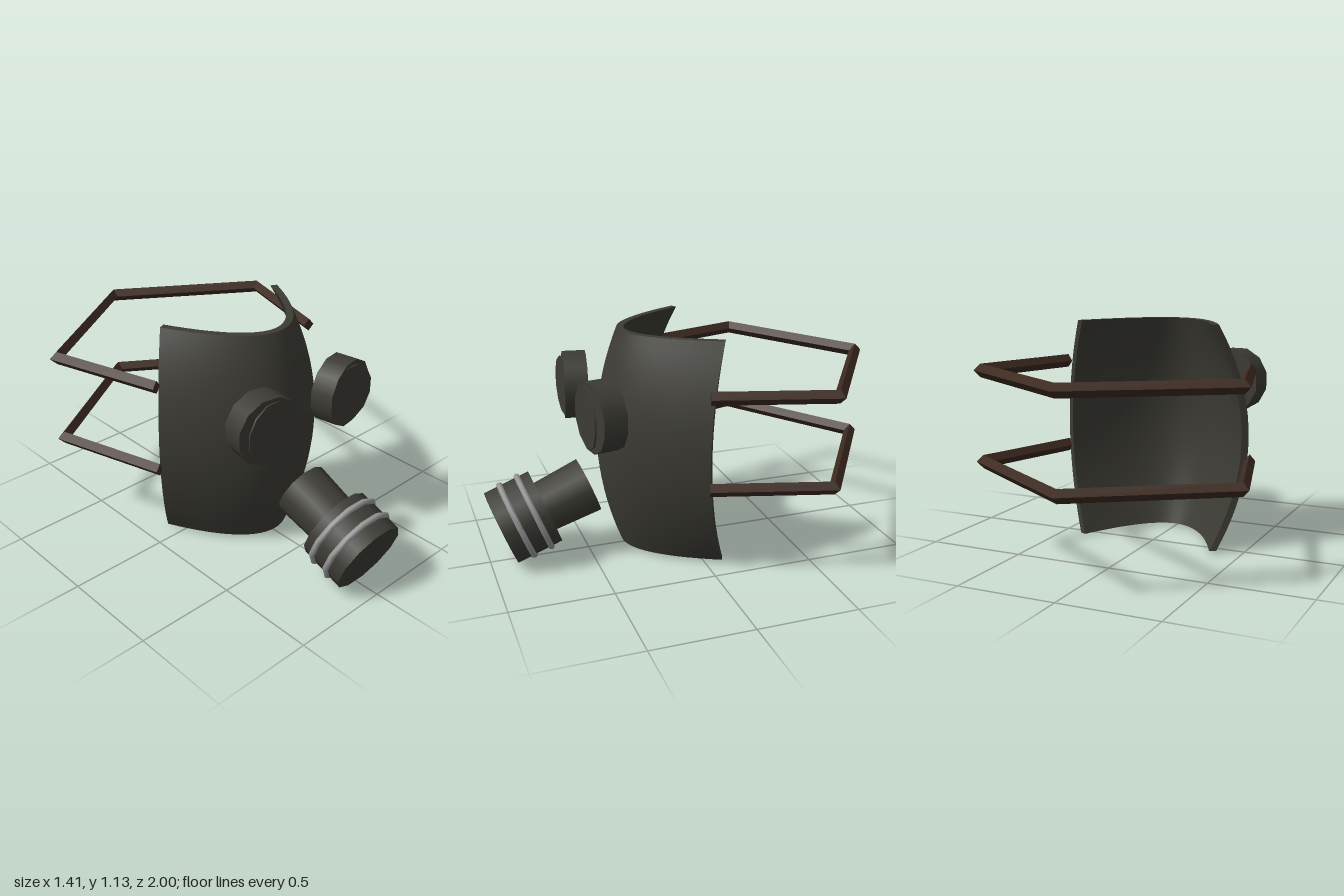
import * as THREE from 'three';
import { mergeGeometries } from 'three/addons/utils/BufferGeometryUtils.js';

const mat = (name, color, extra = {}) => new THREE.MeshStandardMaterial({ name, color, ...extra });

// Smooth grid surface from f(u, v); its front faces du x dv
function grid(f, nu, nv) {
  const pos = [], index = [];
  for (let j = 0; j <= nv; j++) {
    for (let i = 0; i <= nu; i++) pos.push(...f(i / nu, j / nv));
  }
  for (let j = 0; j < nv; j++) {
    for (let i = 0; i < nu; i++) {
      const a = j * (nu + 1) + i, b = a + 1, d = a + nu + 1, c = d + 1;
      index.push(a, b, c, a, c, d);
    }
  }
  const g = new THREE.BufferGeometry();
  g.setAttribute('position', new THREE.Float32BufferAttribute(pos, 3));
  g.setIndex(index);
  g.computeVertexNormals();
  return g;
}

// Face shell: parabolic section, bulging at mid height; depth 0 is outside, 1 is inside
function shellPoint(u, v, depth) {
  const t = 2 * u - 1, h = 2 * v - 1, bulge = 1 - h * h;
  const w = 0.38 + 0.12 * bulge, d = 0.4;
  const nx = 2 * d * t, len = Math.hypot(nx, w), off = 0.035 * depth;
  return [
    w * t - (nx / len) * off,
    0.573 + 0.557 * h,
    0.32 + 0.11 * bulge - d * t * t - (w / len) * off,
  ];
}

function shellGeometry() {
  const N = 28, M = 20;
  return mergeGeometries([
    grid((u, v) => shellPoint(u, v, 0), N, M),
    grid((u, v) => shellPoint(1 - u, v, 1), N, M),
    grid((u, v) => shellPoint(u, 1, v), N, 1),
    grid((u, v) => shellPoint(1 - u, 0, v), N, 1),
    grid((u, v) => shellPoint(1, v, u), 1, M),
    grid((u, v) => shellPoint(0, v, 1 - u), 1, M),
  ]);
}

// Strap: diamond section swept round a flat path with mitred corners
function strapGeometry() {
  const path = [[0.505, 0.035], [0.67, -0.525], [0, -0.967], [-0.67, -0.525], [-0.505, 0.035]]
    .map(([x, z]) => new THREE.Vector3(x, 0, z));
  const up = new THREE.Vector3(0, 1, 0), hw = 0.028, hh = 0.033;
  const side = (a, b) => b.clone().sub(a).cross(up).normalize();
  const rings = path.map((p, k) => {
    const before = side(path[Math.max(k - 1, 0)], path[Math.max(k, 1)]);
    const after = side(path[Math.min(k, 3)], path[Math.min(k + 1, 4)]);
    const m = before.clone().add(after).normalize();
    m.multiplyScalar(hw / m.dot(before));
    const at = (dir, s) => p.clone().addScaledVector(dir, s);
    return [at(m, 1), at(up, hh), at(m, -1), at(up, -hh)];
  });
  const pts = [];
  for (let k = 0; k < 4; k++) {
    for (let j = 0; j < 4; j++) {
      const n = (j + 1) % 4;
      const a = rings[k][j], b = rings[k][n], c = rings[k + 1][n], e = rings[k + 1][j];
      pts.push(a, c, b, a, e, c);
    }
  }
  const [s, e] = [rings[0], rings[4]];
  pts.push(s[0], s[1], s[2], s[0], s[2], s[3], e[0], e[2], e[1], e[0], e[3], e[2]);
  const g = new THREE.BufferGeometry().setFromPoints(pts);
  g.computeVertexNormals();
  return g;
}

// Twelve-sided cylinder with flats on the axes
const drum = (rTop, rBottom, h) =>
  new THREE.CylinderGeometry(rTop, rBottom, h, 12).rotateY(Math.PI / 12);

export function createModel() {
  const model = new THREE.Group();
  model.name = 'mask';
  const rubber = mat('dark rubber', 0x3c3b34);
  const leather = mat('brown leather', 0x3d2a20);
  const metal = mat('grey metal', 0x999999);

  const add = (parent, name, geometry, material, x = 0, y = 0, z = 0) => {
    const mesh = new THREE.Mesh(geometry, material);
    mesh.name = name;
    mesh.position.set(x, y, z);
    parent.add(mesh);
    return mesh;
  };

  add(model, 'faceShell', shellGeometry(), rubber);

  // Eyepieces splay outwards; the lens discs face straight ahead
  for (const s of [1, -1]) {
    const label = s > 0 ? 'left' : 'right';
    const eye = add(model, label + 'Eyepiece', drum(0.17, 0.17, 0.116).rotateX(Math.PI / 2),
      rubber, s * 0.257, 0.795, 0.48);
    eye.rotation.y = s * 0.17;
    add(model, label + 'Lens', drum(0.15, 0.15, 0.008).rotateX(Math.PI / 2),
      rubber, s * 0.257, 0.795, 0.543);
  }

  // Filter canister, local y running forward and down from the stem end
  const filter = new THREE.Group();
  filter.name = 'filter';
  filter.position.set(0, 0.348, 0.49);
  filter.rotation.x = THREE.MathUtils.degToRad(110.9);
  model.add(filter);
  add(filter, 'filterStem', drum(0.13, 0.143, 0.25), rubber, 0, 0.125, 0);
  add(filter, 'filterCanister', drum(0.195, 0.195, 0.236), rubber, 0, 0.356, 0);
  for (const y of [0.298, 0.391]) {
    const ring = new THREE.TorusGeometry(0.197, 0.016, 6, 12).rotateX(Math.PI / 2).rotateY(Math.PI / 12);
    add(filter, 'filterRing', ring, metal, 0, y, 0);
  }

  // Head straps
  add(model, 'upperStrap', strapGeometry(), leather, 0, 0.908, 0);
  add(model, 'lowerStrap', strapGeometry(), leather, 0, 0.46, 0);

  return model;
}
